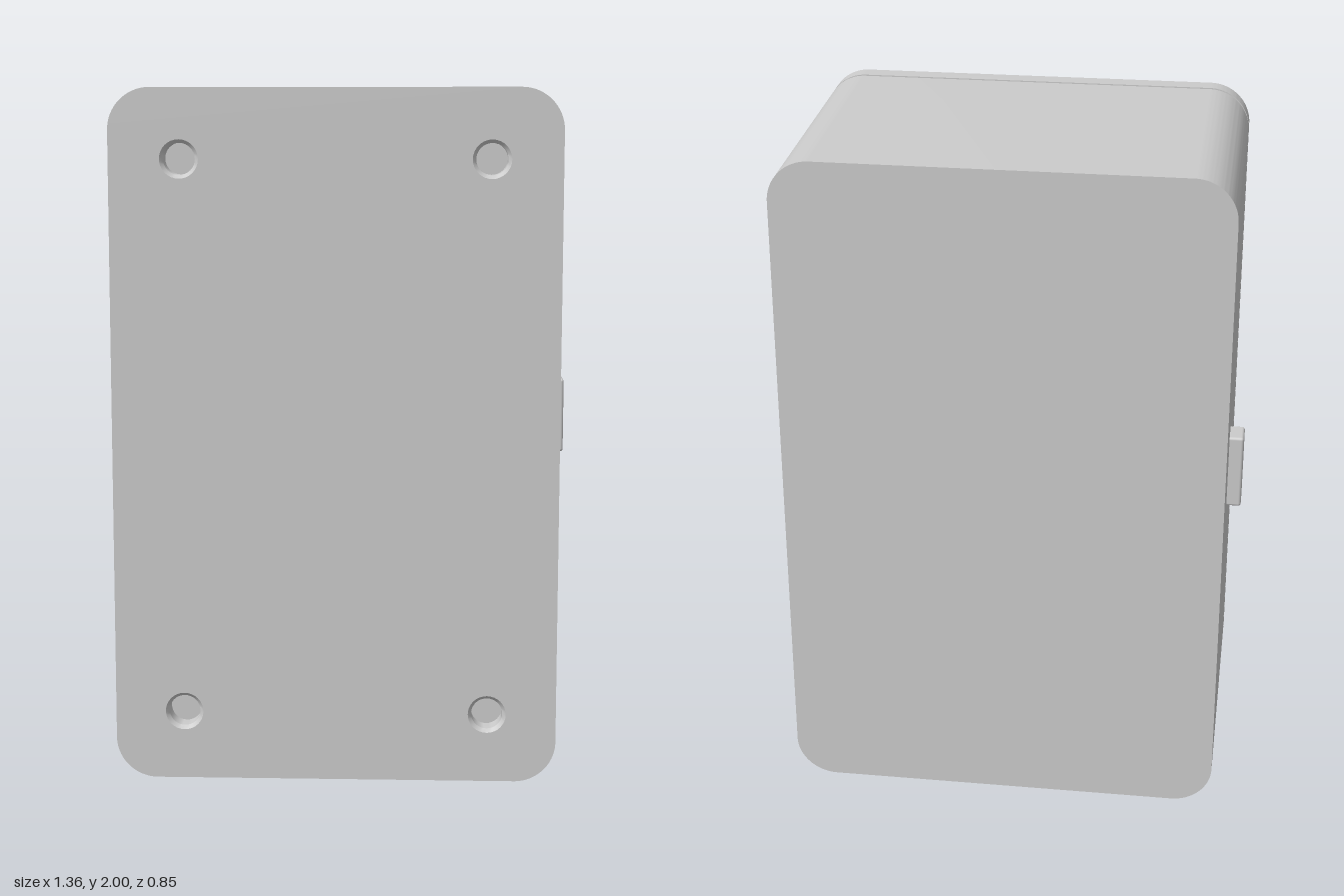
import * as THREE from 'three';
import { toCreasedNormals } from 'three/addons/utils/BufferGeometryUtils.js';
import { RoundedBoxGeometry } from 'three/addons/geometries/RoundedBoxGeometry.js';

const HALF_W = 0.64, HEIGHT = 2, CORNER = 0.12;
const BACK = -0.427, SEAM_BACK = 0.362, SEAM_FRONT = 0.373, FRONT = 0.427;
const HOLE_R = 0.055, BORE_R = 0.045;
const holes = [-0.44, 0.44].flatMap(x => [0.2, 1.8].map(y => [x, y]));

const material = new THREE.MeshStandardMaterial({ color: 0xcccccc });
const liningMaterial = new THREE.MeshStandardMaterial({ color: 0xcccccc, side: THREE.DoubleSide });

// Rounded upright outline, shrunk by an inset, optionally with screw holes
function outline(inset, withHoles) {
  const w = HALF_W - inset, b = inset, t = HEIGHT - inset, r = CORNER - inset;
  const s = new THREE.Shape();
  s.absarc(w - r, b + r, r, -Math.PI / 2, 0);
  s.absarc(w - r, t - r, r, 0, Math.PI / 2);
  s.absarc(-w + r, t - r, r, Math.PI / 2, Math.PI);
  s.absarc(-w + r, b + r, r, Math.PI, Math.PI * 1.5);
  if (withHoles) {
    for (const [x, y] of holes) {
      s.holes.push(new THREE.Path().absarc(x, y, HOLE_R, 0, Math.PI * 2, true));
    }
  }
  return s;
}

function slab(name, inset, z0, z1, withHoles) {
  const geo = new THREE.ExtrudeGeometry(outline(inset, withHoles), {
    depth: z1 - z0, bevelEnabled: false, curveSegments: 16,
  });
  geo.translate(0, 0, z0);
  const mesh = new THREE.Mesh(toCreasedNormals(geo, 0.6), material);
  mesh.name = name;
  return mesh;
}

export function createModel() {
  const group = new THREE.Group();
  group.name = 'enclosure';

  // Box, recessed seam and front lid
  group.add(slab('body', 0, BACK, SEAM_BACK, false));
  group.add(slab('seam', 0.007, SEAM_BACK, SEAM_FRONT, true));
  group.add(slab('lid', 0, SEAM_FRONT, FRONT, true));

  // Countersunk lining of each screw hole
  const profile = [[BORE_R, SEAM_BACK], [BORE_R, FRONT - 0.012], [HOLE_R, FRONT]]
    .map(([r, z]) => new THREE.Vector2(r, z));
  const lining = toCreasedNormals(new THREE.LatheGeometry(profile, 32).rotateX(Math.PI / 2), 0.5);
  for (const [x, y] of holes) {
    const mesh = new THREE.Mesh(lining, liningMaterial);
    mesh.name = 'screwHole';
    mesh.position.set(x, y, 0);
    group.add(mesh);
  }

  // Small tab on each side
  const tab = new RoundedBoxGeometry(0.08, 0.226, 0.084, 3, 0.008);
  for (const side of [-1, 1]) {
    const mesh = new THREE.Mesh(tab, material);
    mesh.name = side > 0 ? 'leftTab' : 'rightTab';
    mesh.position.set(side * 0.642, 1.003, -0.13);
    group.add(mesh);
  }
  return group;
}
